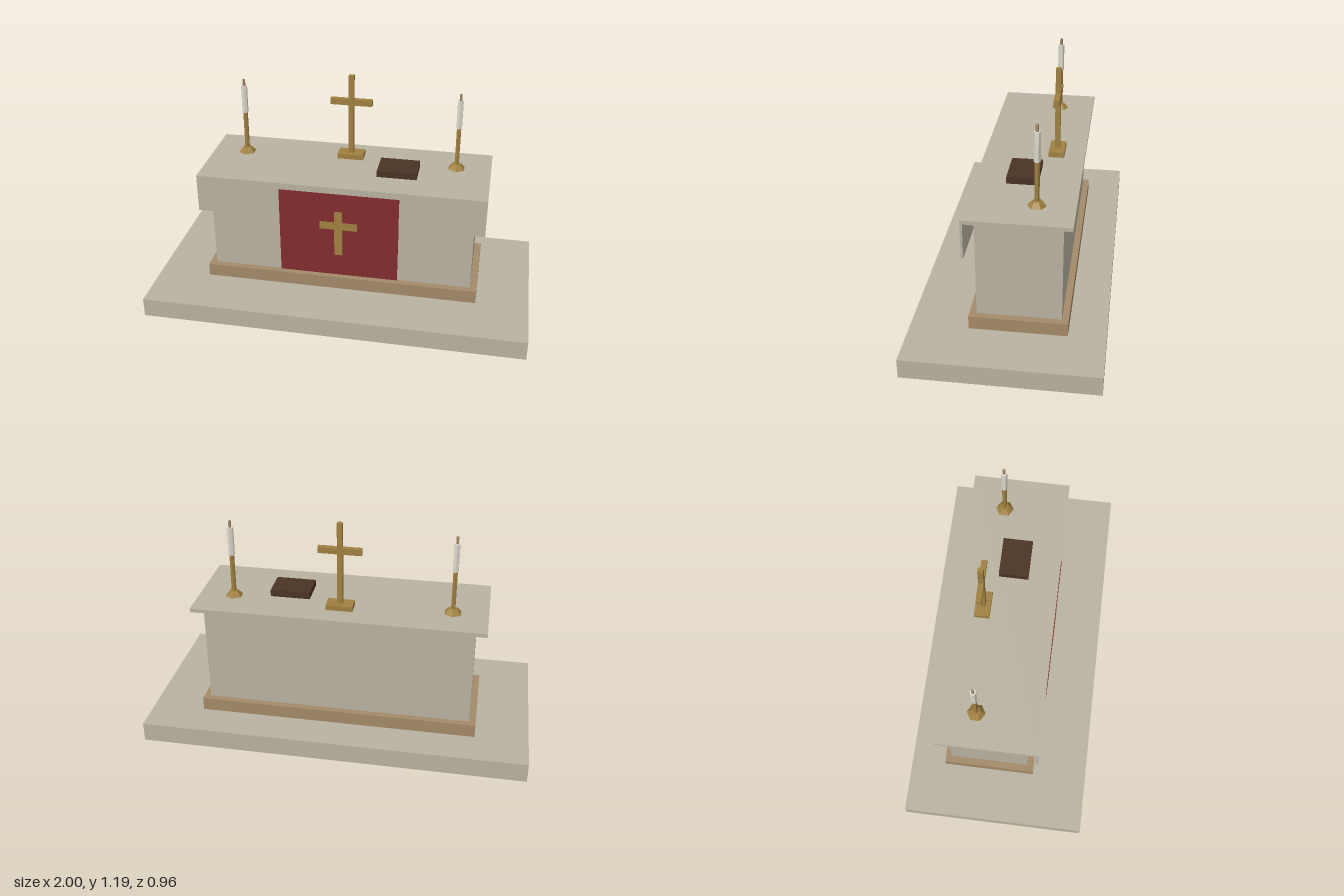
import * as THREE from 'three';

const paint = (name, color) => {
  const m = new THREE.MeshStandardMaterial({ color });
  m.name = name;
  return m;
};

export function createModel() {
  const stone = paint('pale stone', 0xb8b2a1);
  const wood = paint('tan wood', 0xa38a69);
  const red = paint('red cloth', 0x822c2e);
  const gold = paint('brass', 0xa08040);
  const leather = paint('dark leather', 0x4a3323);
  const wax = paint('wax', 0xdedacd);

  const model = new THREE.Group();
  model.name = 'altar';

  // Box given by its extents on each axis
  const box = (parent, name, mat, [x0, x1], [y0, y1], [z0, z1]) => {
    const mesh = new THREE.Mesh(new THREE.BoxGeometry(x1 - x0, y1 - y0, z1 - z0), mat);
    mesh.position.set((x0 + x1) / 2, (y0 + y1) / 2, (z0 + z1) / 2);
    mesh.name = name;
    parent.add(mesh);
  };
  const wide = (h) => [-h, h];

  // Platform, plinth and altar body
  box(model, 'platform', stone, wide(1), [0, 0.103], wide(0.479));
  box(model, 'plinth', wood, wide(0.725), [0.103, 0.173], [-0.293, 0.191]);
  box(model, 'body', stone, wide(0.69), [0.173, 0.705], [-0.26, 0.156]);

  // Altar cloth: top sheet and front drop
  box(model, 'clothTop', stone, wide(0.746), [0.705, 0.725], [-0.307, 0.211]);
  box(model, 'clothDrop', stone, wide(0.746), [0.522, 0.705], [0.199, 0.211]);

  // Hanging banner with its cross
  box(model, 'banner', red, wide(0.31), [0.21, 0.69], [0.202, 0.215]);
  box(model, 'bannerCrossUpright', gold, wide(0.021), [0.333, 0.59], [0.213, 0.218]);
  box(model, 'bannerCrossArm', gold, wide(0.097), [0.485, 0.527], [0.213, 0.2178]);

  // Standing cross
  const cross = new THREE.Group();
  cross.name = 'standingCross';
  box(cross, 'crossBase', gold, wide(0.069), [0.725, 0.752], [-0.201, -0.121]);
  box(cross, 'crossUpright', gold, wide(0.0135), [0.752, 1.187], [-0.174, -0.147]);
  box(cross, 'crossArm', gold, wide(0.11), [1.025, 1.057], [-0.1745, -0.1465]);
  model.add(cross);

  // Closed book
  box(model, 'book', leather, [0.17, 0.376], [0.725, 0.76], [-0.103, 0.052]);

  // Six-sided candlesticks, one on each side
  for (const side of [1, -1]) {
    const stick = new THREE.Group();
    stick.name = side > 0 ? 'leftCandlestick' : 'rightCandlestick';
    stick.position.set(side * 0.566, 0, -0.121);
    const prism = (name, mat, rTop, rBottom, y0, y1) => {
      const geo = new THREE.CylinderGeometry(rTop, rBottom, y1 - y0, 6).toNonIndexed();
      geo.computeVertexNormals();
      const mesh = new THREE.Mesh(geo, mat);
      mesh.position.y = (y0 + y1) / 2;
      mesh.name = name;
      stick.add(mesh);
    };
    prism('foot', gold, 0.023, 0.047, 0.725, 0.752);
    prism('stem', gold, 0.0125, 0.0125, 0.752, 0.955);
    prism('candle', wax, 0.0163, 0.0163, 0.955, 1.105);
    prism('candleTip', wood, 0.0075, 0.0075, 1.105, 1.14);
    model.add(stick);
  }

  return model;
}
